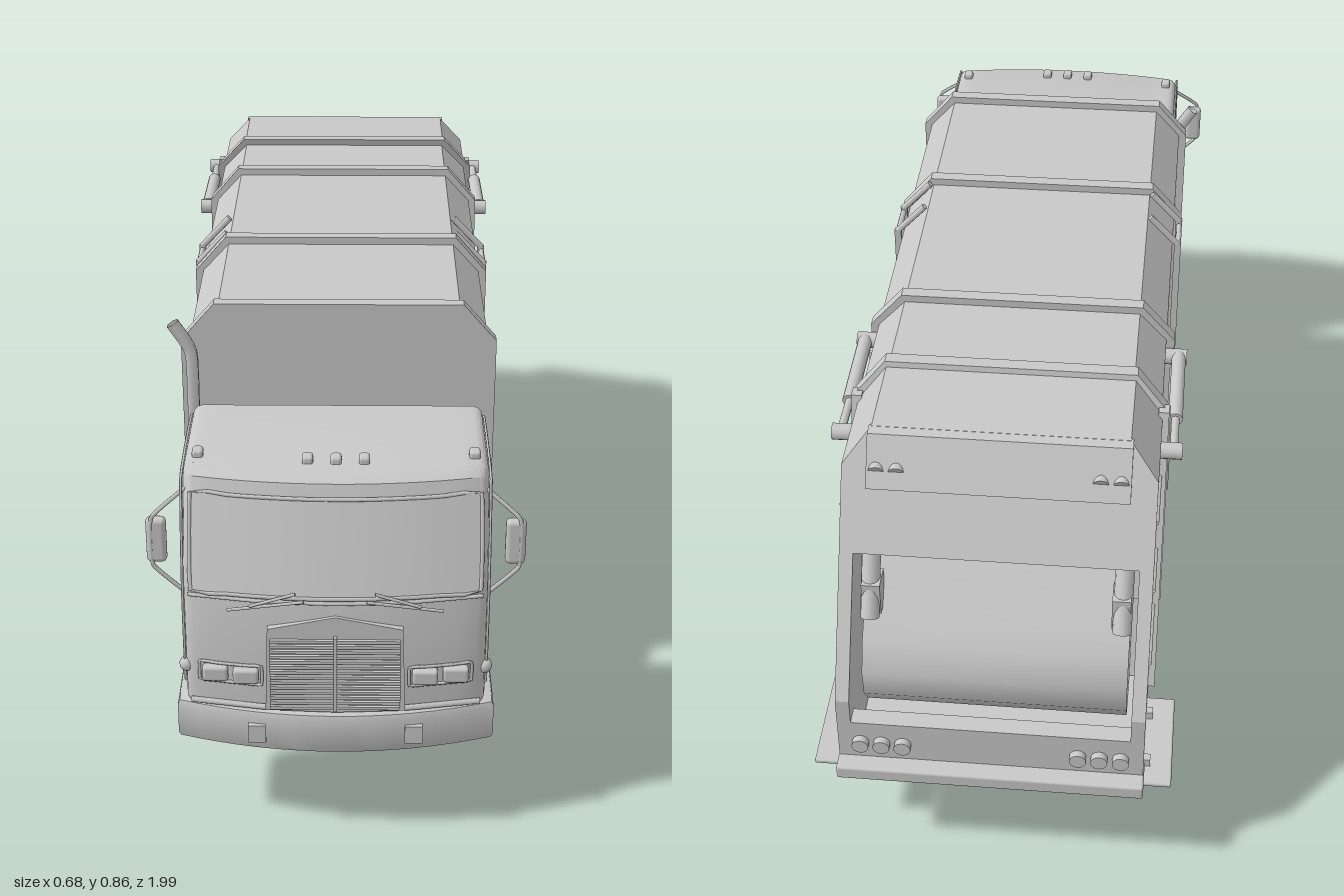
import * as THREE from 'three';
import { toCreasedNormals } from 'three/addons/utils/BufferGeometryUtils.js';
import { RoundedBoxGeometry } from 'three/addons/geometries/RoundedBoxGeometry.js';

export function createModel() {
  const root = new THREE.Group();
  root.name = 'refuseTruck';
  const grey = new THREE.MeshStandardMaterial({ color: 0xc8c8c8, side: THREE.DoubleSide });
  grey.name = 'paintGrey';
  const V = (x, y, z) => new THREE.Vector3(x, y, z);
  const SIDES = [1, -1];

  // helpers
  const add = (name, geo, x = 0, y = 0, z = 0) => {
    const m = new THREE.Mesh(geo, grey);
    m.name = name;
    m.position.set(x, y, z);
    root.add(m);
    return m;
  };
  // box from min/max ranges
  const box = (name, x0, x1, y0, y1, z0, z1) =>
    add(name, new THREE.BoxGeometry(Math.abs(x1 - x0), y1 - y0, Math.abs(z1 - z0)), (x0 + x1) / 2, (y0 + y1) / 2, (z0 + z1) / 2);
  // straight round bar between two points
  const bar = (name, a, b, r, seg = 8) => {
    const d = b.clone().sub(a);
    const m = add(name, new THREE.CylinderGeometry(r, r, d.length(), seg));
    m.position.copy(a).addScaledVector(d, 0.5);
    m.quaternion.setFromUnitVectors(V(0, 1, 0), d.normalize());
    return m;
  };
  const tube = (name, pts, r, closed = false, tension = 0.15) =>
    add(name, new THREE.TubeGeometry(new THREE.CatmullRomCurve3(pts, closed, 'catmullrom', tension), 40, r, 6, closed));
  const shapeOf = pts => new THREE.Shape(pts.map(p => new THREE.Vector2(...p)));
  // side profile given as [z, y], extruded across x
  const extrudeX = (pts, width, bevel = 0, steps = 1) => {
    const g = new THREE.ExtrudeGeometry(shapeOf(pts), {
      depth: width - 2 * bevel, steps, bevelEnabled: bevel > 0, bevelSize: bevel, bevelThickness: bevel, bevelOffset: -bevel, bevelSegments: 3 });
    return g.translate(0, 0, -width / 2 + bevel).rotateY(-Math.PI / 2);
  };
  // apply a rule to each vertex
  const bend = (g, rule) => {
    const p = g.attributes.position, v = new THREE.Vector3();
    for (let i = 0; i < p.count; i++) { v.fromBufferAttribute(p, i); rule(v); p.setXYZ(i, v.x, v.y, v.z); }
    g.computeVertexNormals();
    return toCreasedNormals(g, 0.6);
  };
  // flat polygon from corners
  const panel = (name, pts) => {
    const idx = [];
    for (let i = 1; i < pts.length - 1; i++) idx.push(0, i, i + 1);
    const g = new THREE.BufferGeometry().setFromPoints(pts);
    g.setIndex(idx);
    g.computeVertexNormals();
    return add(name, g);
  };

  // CAB with bowed front and open wheel arch
  const cab = extrudeX([[0.98, 0.27], [0.98, 0.51], [0.912, 0.7], [0.885, 0.715], [0.63, 0.715], [0.62, 0.7],
    [0.62, 0.41], [0.74, 0.41], [0.775, 0.385], [0.795, 0.34], [0.8, 0.27]], 0.54, 0.018, 14);
  add('cab', bend(cab, v => { v.z -= 0.45 * v.x * v.x * THREE.MathUtils.smoothstep(v.z, 0.8, 0.92); }));
  const onFront = (x, y, off = 0) => V(x, y, 0.98 - Math.max(0, y - 0.51) * 0.36 - 0.45 * x * x + off);
  const frontFrame = (name, x0, x1, y0, y1, r, n = 10) => {
    const pts = [];
    for (let i = 0; i <= n; i++) pts.push(onFront(x0 + (x1 - x0) * i / n, y0, 0.002));
    for (let i = n; i >= 0; i--) pts.push(onFront(x0 + (x1 - x0) * i / n, y1, 0.002));
    tube(name, pts, r, true);
  };
  frontFrame('windshieldSeal', -0.255, 0.255, 0.51, 0.675, 0.004);
  add('windshield', bend(new THREE.PlaneGeometry(0.51, 0.165, 14, 1).translate(0, 0.5925, 0),
    v => v.copy(onFront(v.x, v.y, 0.003))));
  tube('beltMoulding', [-0.26, -0.13, 0, 0.13, 0.26].map(x => onFront(x, 0.5, 0.001)), 0.004);
  tube('lowerMoulding', [-0.26, -0.13, 0, 0.13, 0.26].map(x => onFront(x, 0.28, 0.003)), 0.006);

  // grille
  const surround = new THREE.ExtrudeGeometry(shapeOf([[-0.125, 0.28], [0.125, 0.28], [0.12, 0.45], [0, 0.475], [-0.12, 0.45]]), { depth: 0.02, bevelEnabled: false });
  add('grilleSurround', surround, 0, 0, 0.966);
  for (let i = 0; i < 14; i++) box('grilleSlat', -0.116, 0.116, 0.285 + i * 0.0107, 0.291 + i * 0.0107, 0.98, 0.992);
  box('grilleDivider', -0.003, 0.003, 0.282, 0.436, 0.98, 0.994);

  // bumper
  const plan = new THREE.Shape();
  plan.moveTo(-0.287, -0.82);
  plan.lineTo(-0.287, -0.945);
  plan.quadraticCurveTo(0, -1.045, 0.287, -0.945);
  plan.lineTo(0.287, -0.82);
  add('bumper', toCreasedNormals(new THREE.ExtrudeGeometry(plan, { depth: 0.06, bevelSize: 0.012, bevelThickness: 0.012, bevelOffset: -0.012, bevelSegments: 2, curveSegments: 16 })
    .rotateX(-Math.PI / 2), 0.6), 0, 0.202, 0);
  for (const x of [0, 0.05, -0.05, 0.245, -0.245])
    add('roofMarker', new RoundedBoxGeometry(0.02, 0.018, 0.025, 2, 0.006), x, 0.719, 0.855 - x * x * 0.4);

  // cab details on both sides
  for (const s of SIDES) {
    for (const x of [0.16, 0.215]) {
      const p = onFront(s * x, 0.345, 0.004);
      add('headlight', new RoundedBoxGeometry(0.046, 0.03, 0.02, 2, 0.006), p.x, p.y, p.z);
    }
    frontFrame('headlightBezel', s * 0.132, s * 0.243, 0.326, 0.364, 0.003, 4);
    add('turnSignal', new THREE.SphereGeometry(0.014, 12, 8), s * 0.268, 0.345, 0.935);
    box('towPlate', s * 0.125, s * 0.157, 0.212, 0.248, 0.98, 0.991);
    bar('wiperArm', onFront(s * 0.07, 0.522, 0.012), onFront(s * 0.15, 0.495, 0.012), 0.003);
    bar('wiperBlade', onFront(s * 0.055, 0.508, 0.01), onFront(s * 0.19, 0.482, 0.01), 0.003);
    const side = (y, z) => V(s * 0.271, y, z);
    tube('doorWindowFrame', [side(0.69, 0.87), side(0.69, 0.645), side(0.535, 0.645), side(0.53, 0.86), side(0.56, 0.895)], 0.004, true);
    tube('doorSeam', [side(0.7, 0.885), side(0.7, 0.63), side(0.42, 0.63), side(0.42, 0.75), side(0.36, 0.8), side(0.3, 0.83), side(0.3, 0.935), side(0.5, 0.935)], 0.0025, true);
    tube('ventFrame', [side(0.6, 0.68), side(0.6, 0.71), side(0.55, 0.72), side(0.55, 0.69)], 0.003, true);
    box('doorHandle', s * 0.268, s * 0.278, 0.45, 0.46, 0.68, 0.72);
    // mirror and its bracket
    tube('mirrorBracket', [V(s * 0.265, 0.675, 0.88), V(s * 0.325, 0.625, 0.9), V(s * 0.325, 0.53, 0.9), V(s * 0.27, 0.475, 0.9)], 0.004);
    add('mirror', new RoundedBoxGeometry(0.036, 0.088, 0.022, 3, 0.009), s * 0.318, 0.578, 0.892);
    // entry step and mudguard behind the arch
    box('entryStep', s * 0.255, s * 0.285, 0.2, 0.27, 0.8, 0.925);
    const guard = [[0.72, 0.412], [0.65, 0.405], [0.58, 0.36], [0.53, 0.3], [0.5, 0.235]];
    for (let i = 0; i < 4; i++) {
      const [a, b] = [guard[i], guard[i + 1]];
      panel('mudguard', [V(s * 0.13, a[1], a[0]), V(s * 0.27, a[1], a[0]), V(s * 0.27, b[1], b[0]), V(s * 0.13, b[1], b[0])]);
    }
    box('guardBracket', s * 0.12, s * 0.27, 0.23, 0.3, 0.485, 0.51);
    box('springHanger', s * 0.09, s * 0.13, 0.2, 0.32, 0.64, 0.7);
  }

  // ENGINE, air cleaner and exhaust behind the cab
  box('engineBlock', -0.12, 0.12, 0.24, 0.41, 0.5, 0.85);
  box('rearDeck', -0.27, 0.27, 0.375, 0.395, 0.49, 0.62);
  box('airBox', -0.18, 0, 0.4, 0.53, 0.51, 0.6);
  bar('airDuct', V(-0.02, 0.44, 0.555), V(0.2, 0.44, 0.555), 0.038, 20);
  bar('airIntake', V(0.16, 0.44, 0.555), V(0.16, 0.6, 0.555), 0.038, 20);
  bar('muffler', V(-0.27, 0.42, 0.55), V(-0.18, 0.42, 0.55), 0.03, 16);
  tube('exhaustStack', [V(-0.28, 0.39, 0.515), V(-0.28, 0.6, 0.515), V(-0.28, 0.755, 0.515), V(-0.29, 0.79, 0.515), V(-0.315, 0.83, 0.515)], 0.013, false, 0.4);

  // BODY with chamfered roof; the rear end follows the slanted joint
  const slant = y => -0.53 - 0.254 * (0.85 - y);
  const hex = (w, top, t) => shapeOf([[-w, 0.4], [w, 0.4], [w, 0.787], [t, top], [-t, top], [-w, 0.787]]);
  const slab = (w, top, t, depth) => new THREE.ExtrudeGeometry(hex(w, top, t), { depth, bevelEnabled: false });
  add('body', bend(slab(0.286, 0.846, 0.232, 1), v => { v.z = v.z > 0.5 ? 0.48 : slant(v.y); }));
  for (const z of [0.468, 0.113, -0.322]) add('bodyRib', slab(0.302, 0.861, 0.238, 0.026), 0, 0, z);
  add('rearRib', bend(slab(0.302, 0.861, 0.238, 0.026), v => { v.z += slant(v.y) - 0.01; }));
  for (const s of SIDES) {
    box('lowerRail', s * 0.28, s * 0.295, 0.398, 0.415, -0.62, 0.48);
    // side ladder
    for (const z of [0.1, 0.01]) {
      box('ladderRail', s * 0.29, s * 0.304, 0.41, 0.795, z - 0.006, z + 0.006);
      bar('ladderTop', V(s * 0.3, 0.79, z), V(s * 0.238, 0.856, z), 0.007);
    }
    for (const y of [0.415, 0.515, 0.615, 0.715, 0.785]) bar('ladderRung', V(s * 0.298, y, 0.01), V(s * 0.298, y, 0.1), 0.006);
    // tailgate lift cylinder
    bar('liftCylinder', V(s * 0.312, 0.76, -0.34), V(s * 0.312, 0.755, -0.53), 0.014, 14);
    bar('liftRod', V(s * 0.312, 0.755, -0.5), V(s * 0.312, 0.757, -0.63), 0.008, 10);
    for (const z of [-0.335, -0.625]) bar('liftPivot', V(s * 0.28, 0.757, z), V(s * 0.328, 0.757, z), 0.016, 12);
    bar('bodyPipe', V(s * 0.3, 0.42, -0.345), V(s * 0.3, 0.735, -0.345), 0.005);
  }

  // TAILGATE shell with open hopper
  const zb = y => -0.715 - 0.544 * (0.85 - y);
  const across = (name, w, y0, z0, y1, z1) => panel(name, [V(-w, y0, z0), V(w, y0, z0), V(w, y1, z1), V(-w, y1, z1)]);
  across('tailgateRoof', 0.235, 0.85, -0.53, 0.85, -0.715);
  across('hopperFloor', 0.288, 0.22, -0.69, 0.22, -0.965);
  across('hopperFront', 0.288, 0.22, -0.69, 0.78, slant(0.78));
  for (const s of SIDES) {
    for (const x of [0.288, 0.262]) panel('tailgateSide', [V(s * x, 0.22, -0.69), V(s * x, 0.22, -0.965), V(s * x, 0.39, -0.965), V(s * x, 0.785, zb(0.785)), V(s * x, 0.785, slant(0.785))]);
    panel('tailgateChamfer', [V(s * 0.288, 0.785, slant(0.785)), V(s * 0.288, 0.785, zb(0.785)), V(s * 0.235, 0.85, -0.715), V(s * 0.235, 0.85, -0.53)]);
    panel('sideEdge', [V(s * 0.288, 0.785, zb(0.785)), V(s * 0.262, 0.785, zb(0.785)), V(s * 0.262, 0.39, -0.965), V(s * 0.288, 0.39, -0.965)]);
    panel('sideEdgeLower', [V(s * 0.288, 0.39, -0.965), V(s * 0.262, 0.39, -0.965), V(s * 0.262, 0.22, -0.965), V(s * 0.288, 0.22, -0.965)]);
    const post = extrudeX([[slant(0.8), 0.8], [slant(0.22), 0.22], [slant(0.22) - 0.025, 0.22], [slant(0.8) - 0.025, 0.8]], 0.02);
    add('tailgatePost', post, s * 0.29, 0, 0);
    // pressed side ribs
    for (const [y, z0, z1] of [[0.67, -0.6, -0.77], [0.52, -0.64, -0.79], [0.4, -0.67, -0.86]])
      bar('sideRib', V(s * 0.289, y, z0), V(s * 0.289, y + 0.035, z1), 0.004, 6);
    // lamps
    for (const x of [0.185, 0.222]) bar('upperLamp', V(s * x, 0.797, zb(0.797) + 0.01), V(s * x, 0.786, zb(0.797) - 0.024), 0.015, 14);
    for (const x of [0.165, 0.205, 0.245]) bar('lowerLamp', V(s * x, 0.285, -0.96), V(s * x, 0.285, -0.979), 0.016, 14);
    // packer arms
    bar('packerRam', V(s * 0.235, 0.68, -0.76), V(s * 0.235, 0.5, -0.85), 0.018, 12);
    box('packerLug', s * 0.215, s * 0.25, 0.5, 0.57, -0.84, -0.79);
    // riding step
    add('ridingStep', new RoundedBoxGeometry(0.06, 0.01, 0.22, 2, 0.004), s * 0.312, 0.2, -0.84);
    for (const z of [-0.78, -0.9]) box('stepBracket', s * 0.27, s * 0.3, 0.19, 0.222, z - 0.008, z + 0.008);
    box('latch', s * 0.285, s * 0.3, 0.425, 0.44, -0.62, -0.56);
  }
  panel('upperBack', [V(-0.288, 0.785, zb(0.785)), V(-0.235, 0.85, -0.715), V(0.235, 0.85, -0.715), V(0.288, 0.785, zb(0.785)), V(0.288, 0.65, zb(0.65)), V(-0.288, 0.65, zb(0.65))]);
  add('lampPanel', extrudeX([[-0.71, 0.85], [zb(0.76) + 0.005, 0.76], [zb(0.76) - 0.022, 0.76], [-0.735, 0.848]], 0.48));
  add('openingLip', extrudeX([[zb(0.66), 0.66], [zb(0.64), 0.64], [zb(0.64) + 0.03, 0.63], [zb(0.66) + 0.03, 0.65]], 0.54));
  add('packerBlade', toCreasedNormals(extrudeX([[-0.7, 0.65], [-0.75, 0.6], [-0.82, 0.5], [-0.865, 0.45], [-0.89, 0.39], [-0.885, 0.33], [-0.85, 0.28], [-0.8, 0.25], [-0.7, 0.25]], 0.5), 0.7));
  box('hopperSill', -0.27, 0.27, 0.22, 0.335, -0.965, -0.93);
  add('rearLip', new RoundedBoxGeometry(0.58, 0.03, 0.07, 2, 0.005), 0, 0.23, -0.964);

  // CHASSIS
  for (const s of SIDES) {
    box('frameRail', s * 0.08, s * 0.105, 0.28, 0.4, -0.635, 0.9);
    box('toolBox', s * 0.12, s * 0.275, 0.22, 0.36, 0.13, 0.46);
    box('toolBoxLid', s * 0.12, s * 0.28, 0.345, 0.362, 0.13, 0.46);
    bar('fillerCap', V(s * 0.25, 0.35, 0.42), V(s * 0.285, 0.35, 0.42), 0.014, 12);
    for (const z of [0.068, -0.02]) {
      bar('airTank', V(s * 0.1, 0.337, z), V(s * 0.25, 0.337, z), 0.039, 20);
      bar('airTankCap', V(s * 0.25, 0.337, z), V(s * 0.256, 0.337, z), 0.028, 16);
    }
    panel('mudFlap', [V(s * 0.13, 0.39, -0.11), V(s * 0.27, 0.39, -0.11), V(s * 0.27, 0.23, -0.055), V(s * 0.13, 0.23, -0.055)]);
    bar('suspensionBeam', V(s * 0.09, 0.265, -0.03), V(s * 0.09, 0.245, -0.53), 0.018, 10);
    for (const z of [-0.23, -0.51]) {
      bar('axleStub', V(0, 0.25, z), V(s * 0.19, 0.25, z), 0.025, 14);
      bar('axleCollar', V(s * 0.06, 0.25, z), V(s * 0.12, 0.25, z), 0.037, 14);
    }
  }
  for (const z of [0.42, 0.1, -0.15, -0.4, -0.62]) box('crossMember', -0.08, 0.08, 0.3, 0.39, z - 0.015, z + 0.015);
  bar('driveShaft', V(0, 0.3, 0.5), V(0, 0.255, -0.5), 0.018, 12);
  for (const z of [-0.23, -0.51]) add('differential', new THREE.SphereGeometry(0.042, 16, 10), 0, 0.25, z);
  box('frontCrossBeam', -0.12, 0.12, 0.19, 0.22, 0.64, 0.69);

  // WHEELS: twin tyres
  const tyre = [[0.062, -0.036], [0.09, -0.042], [0.108, -0.039], [0.117, -0.03], [0.121, -0.014], [0.121, 0.014], [0.117, 0.03], [0.108, 0.039], [0.09, 0.042], [0.062, 0.036]];
  for (const s of SIDES) {
    const t = add('tyre', new THREE.LatheGeometry(tyre.map(p => new THREE.Vector2(...p)), 40), s * 0.043, 0.122, 0.08);
    t.rotation.z = -Math.PI / 2;
    bar('wheelRim', V(s * 0.005, 0.122, 0.08), V(s * 0.078, 0.122, 0.08), 0.064, 32);
    bar('hubFlange', V(s * 0.07, 0.122, 0.08), V(s * 0.087, 0.122, 0.08), 0.048, 24);
    bar('hubCap', V(s * 0.08, 0.122, 0.08), V(s * 0.096, 0.122, 0.08), 0.032, 20);
  }
  return root;
}
